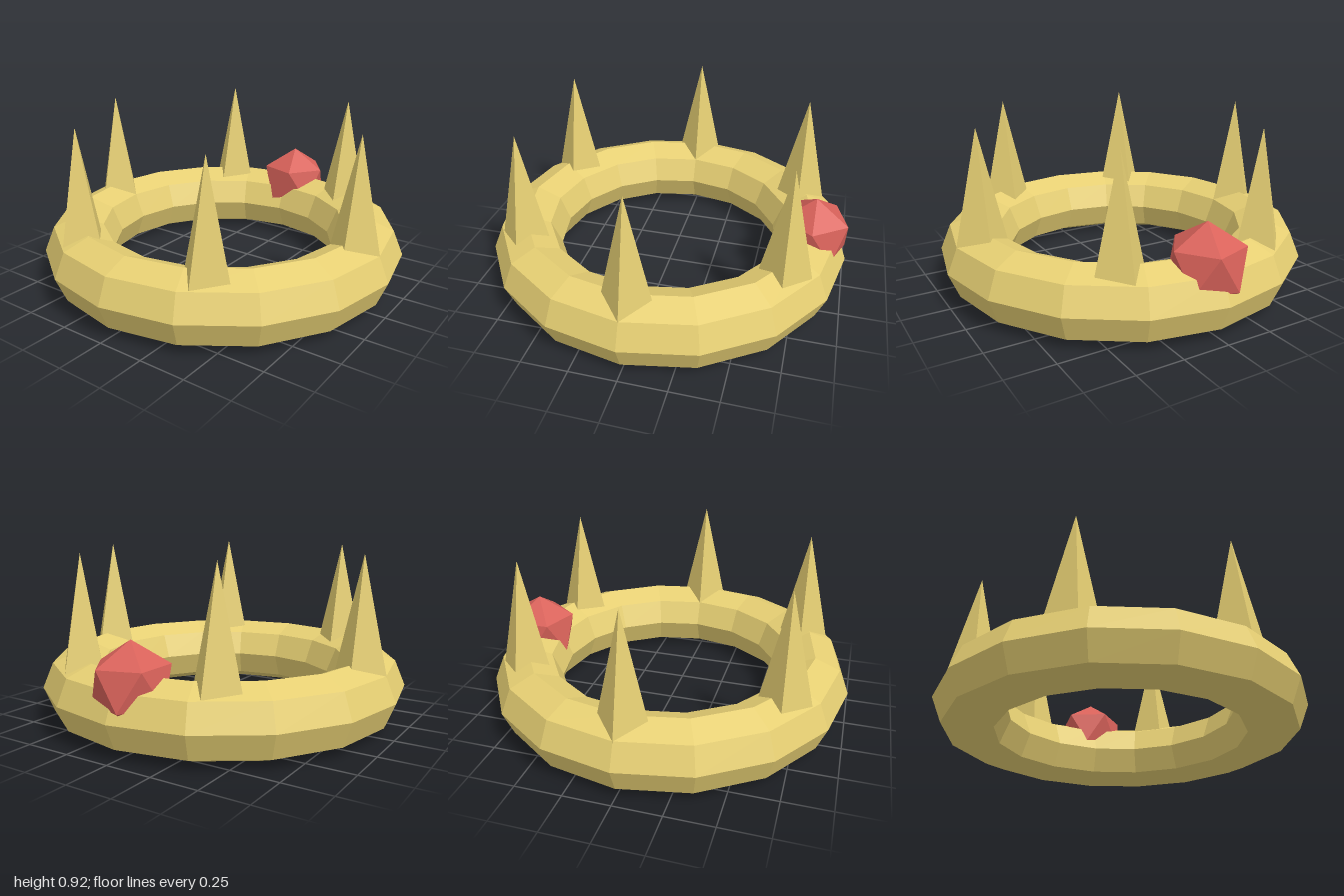
import * as THREE from 'three';

const RING_RADIUS = 0.81;

function makeMesh(name, geometry, material) {
  const mesh = new THREE.Mesh(geometry, material);
  mesh.name = name;
  return mesh;
}

export function createModel() {
  const crown = new THREE.Group();
  crown.name = 'crown';
  const gold = new THREE.MeshStandardMaterial({ color: 0xe6cf73, flatShading: true });
  const red = new THREE.MeshStandardMaterial({ color: 0xd9625a, flatShading: true });

  // Faceted band: octagonal section, sixteen segments around
  const bandGeometry = new THREE.TorusGeometry(RING_RADIUS, 0.19, 8, 16);
  bandGeometry.rotateX(Math.PI / 2);
  const band = makeMesh('band', bandGeometry, gold);
  band.position.y = 0.192;
  crown.add(band);

  // Six four-sided spikes, bases sunk into the band, all aligned to the axes
  const base = 0.3, tip = 0.925;
  const spikeGeometry = new THREE.ConeGeometry(0.142, tip - base, 4);
  const spikes = new THREE.Group();
  spikes.name = 'spikes';
  for (let i = 0; i < 6; i++) {
    const angle = (i * Math.PI) / 3;
    const spike = makeMesh('spike', spikeGeometry, gold);
    spike.position.set(
      RING_RADIUS * Math.cos(angle),
      (base + tip) / 2,
      RING_RADIUS * Math.sin(angle)
    );
    spikes.add(spike);
  }
  crown.add(spikes);

  // Gem at the back, turned so that one corner points straight up
  const gem = makeMesh('gem', new THREE.IcosahedronGeometry(0.21, 0), red);
  gem.rotation.z = -Math.atan(2 / (1 + Math.sqrt(5)));
  gem.position.set(0, 0.34, -RING_RADIUS);
  crown.add(gem);

  return crown;
}
